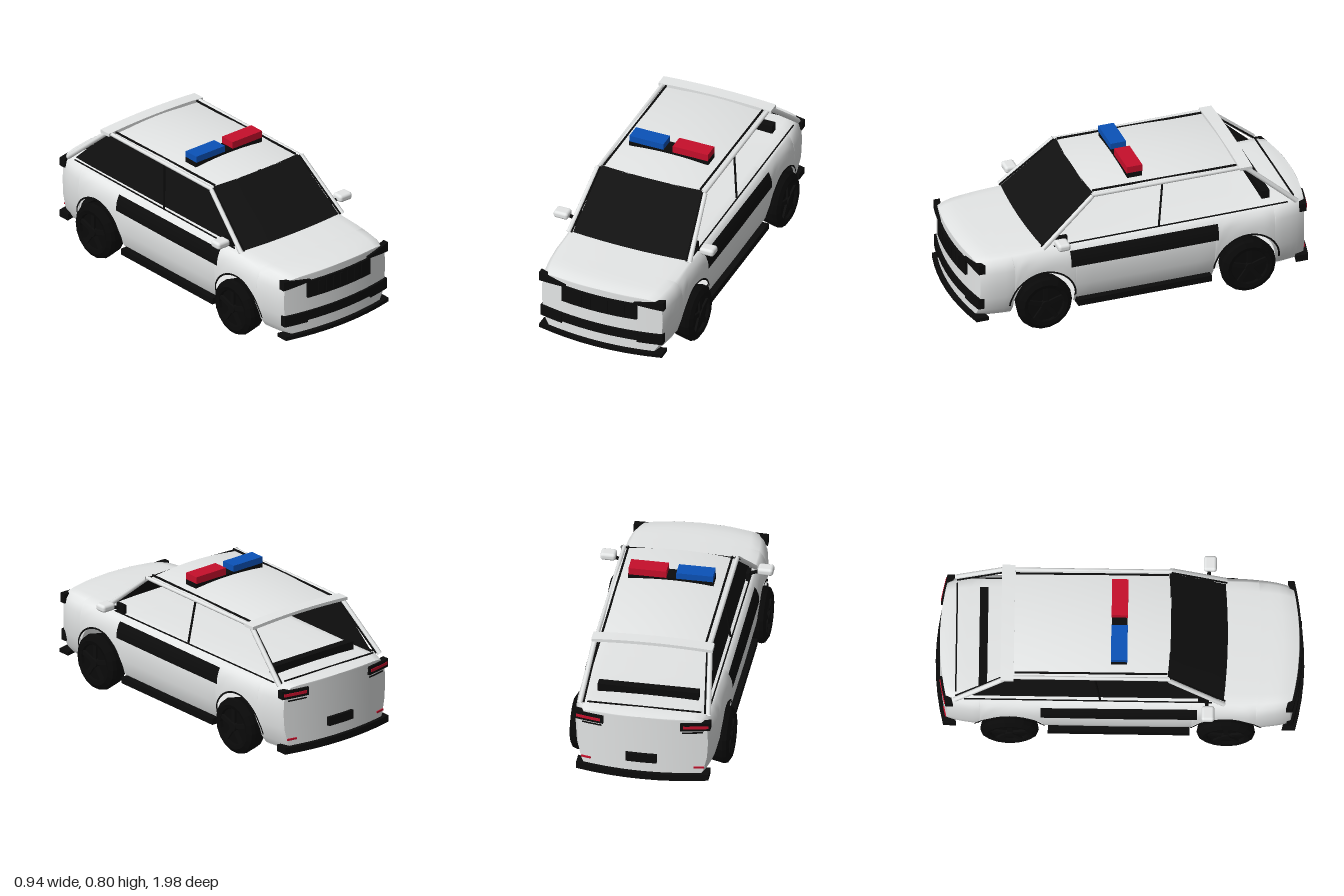
import * as THREE from 'three';
import { RoundedBoxGeometry } from 'three/addons/geometries/RoundedBoxGeometry.js';

const mat = (name, color, side = THREE.DoubleSide) => {
  const m = new THREE.MeshStandardMaterial({ color, side });
  m.name = name;
  return m;
};

// piecewise linear lookup in [key, value] pairs sorted by key
function lookup(t, pairs) {
  if (t <= pairs[0][0]) return pairs[0][1];
  for (let i = 1; i < pairs.length; i++) {
    const [k0, v0] = pairs[i - 1], [k1, v1] = pairs[i];
    if (t <= k1) return v0 + (v1 - v0) * (t - k0) / (k1 - k0);
  }
  return pairs[pairs.length - 1][1];
}

const END = 0.965, BEND = 0.35, FLOOR = 0.1, AXLE_Y = 0.157, ARCH = 0.185;
const AXLES = [0.575, -0.585];
const WIDTH = [[-END, 0.355], [-0.93, 0.37], [-0.85, 0.386], [-0.7, 0.396], [0, 0.4],
  [0.7, 0.396], [0.85, 0.386], [0.93, 0.37], [END, 0.355]];
const TOP = [[-END, 0.462], [-0.9, 0.47], [-0.6, 0.462], [0, 0.456], [0.55, 0.457], [0.9, 0.444], [END, 0.43]];
const SIDE = [[0, 0.86], [0.12, 0.93], [0.35, 0.985], [0.6, 1], [0.8, 0.99], [0.92, 0.95], [1, 0.88]];

const sideX = (y, z) => lookup(z, WIDTH) * lookup((y - FLOOR) / (lookup(z, TOP) - FLOOR), SIDE);
const bendZ = (x, z) => z - Math.sign(z) * BEND * x * x * THREE.MathUtils.smoothstep(Math.abs(z), 0.6, END);
function bottomY(z) {
  for (const c of AXLES) {
    const d = Math.abs(z - c);
    if (d < ARCH) return AXLE_Y + Math.sqrt(ARCH * ARCH - d * d);
  }
  return FLOOR;
}

// surface from a rule fn(u, v) -> [x, y, z]
function grid(nu, nv, fn) {
  const pos = [], idx = [];
  for (let j = 0; j <= nv; j++) for (let i = 0; i <= nu; i++) pos.push(...fn(i / nu, j / nv));
  for (let j = 0; j < nv; j++) for (let i = 0; i < nu; i++) {
    const a = j * (nu + 1) + i, b = a + 1, c = a + nu + 1, d = c + 1;
    idx.push(a, c, d, a, d, b);
  }
  const g = new THREE.BufferGeometry();
  g.setAttribute('position', new THREE.Float32BufferAttribute(pos, 3));
  g.setIndex(idx);
  g.computeVertexNormals();
  return g;
}

// box wrapped round the curved nose (end = 1) or tail (end = -1)
function bentBox(x0, x1, y0, y1, end, proud, depth, rule) {
  const g = new THREE.BoxGeometry(x1 - x0, y1 - y0, depth, 8, 1, 1);
  g.translate((x0 + x1) / 2, (y0 + y1) / 2, 0);
  const p = g.attributes.position;
  for (let i = 0; i < p.count; i++) {
    const x = p.getX(i);
    if (rule) p.setY(i, rule(x, p.getY(i)));
    p.setZ(i, end * (END + proud - depth / 2 - BEND * x * x) + p.getZ(i));
  }
  g.computeVertexNormals();
  return g;
}

function rod(a, b, r, sides = 8) {
  return new THREE.TubeGeometry(new THREE.LineCurve3(new THREE.Vector3(...a), new THREE.Vector3(...b)), 1, r, sides);
}

export function createModel() {
  const car = new THREE.Group();
  car.name = 'patrolCar';
  const white = mat('white paint', 0xe4e6e6), black = mat('black trim', 0x0c0c0c), glass = mat('dark glass', 0x111111);
  const tyre = mat('tyre black', 0x090909), red = mat('red lens', 0xc60f2b), blue = mat('blue lens', 0x0b52b8);
  const add = (name, geo, m, parent = car) => {
    const mesh = new THREE.Mesh(geo, m);
    mesh.name = name;
    parent.add(mesh);
    return mesh;
  };
  const box = (name, m, x, y, z, w, h, d) => add(name, new THREE.BoxGeometry(w, h, d).translate(x, y, z), m);

  // lower body: stations along z, denser round the wheel arches
  const zs = [END, 0.945, 0.92, 0.88, 0.82, 0.3, 0.15, 0, -0.15, -0.3, -0.82, -0.88, -0.92, -0.945, -END];
  for (const c of AXLES) {
    zs.push(c + ARCH, c - ARCH);
    for (let k = 0; k <= 16; k++) zs.push(c + (ARCH - 0.0005) * Math.cos(Math.PI * k / 16));
  }
  zs.sort((a, b) => b - a);
  const section = z => {
    const yb = bottomY(z), yt = lookup(z, TOP), half = [];
    for (const [f] of SIDE) {
      const y = yb + (yt - yb) * f;
      half.push([sideX(y, z), y]);
    }
    const x = half[half.length - 1][0];
    half.push([x * 0.85, yt + 0.006], [x * 0.5, yt + 0.011]);
    return [...half, [0, yt + 0.013], ...half.slice().reverse().map(([a, b]) => [-a, b])];
  };
  const rings = zs.map(section), n = rings[0].length - 1;
  add('body', grid(n, zs.length - 1, (u, v) => {
    const j = Math.round(v * (zs.length - 1)), [x, y] = rings[j][Math.round(u * n)];
    return [x, y, bendZ(x, zs[j])];
  }), white);
  for (const end of [1, -1]) {
    const ring = section(end * END), h = n / 2;
    add(end > 0 ? 'nose' : 'tail', grid(12, h, (u, v) => {
      const [w, y] = ring[Math.round(v * h)], x = w * (1 - 2 * u) * end;
      return [x, y, bendZ(x, end * END)];
    }).scale(1, 1, 1), white);
  }

  // flat floor, notched at the wheels
  const edge = [[0.3, 0.93], [0.335, 0.8]];
  for (const c of AXLES) edge.push([0.345, c + ARCH], [0.29, c + ARCH], [0.29, c - ARCH], [0.345, c - ARCH]);
  edge.push([0.335, -0.82], [0.3, -0.93]);
  const outline = [...edge, ...edge.slice().reverse().map(([x, z]) => [-x, z])];
  const floor = new THREE.ShapeGeometry(new THREE.Shape(outline.map(([x, z]) => new THREE.Vector2(x, z))));
  add('floor', floor.rotateX(Math.PI / 2).translate(0, FLOOR, 0), white);

  // roof, spoiler and glass
  add('roof', grid(12, 12, (u, v) => {
    const x = 0.305 * (1 - 2 * u), z = 0.275 - 0.885 * v;
    return [x, 0.748 - 0.26 * x * x - 0.12 * (z + 0.12) ** 2, z];
  }), white);
  const spoiler = new THREE.BoxGeometry(0.66, 0.018, 0.07, 8, 1, 1).translate(0, 0.716, -0.6);
  const sp = spoiler.attributes.position;
  for (let i = 0; i < sp.count; i++) sp.setY(i, sp.getY(i) + 0.012 * (1 - (sp.getX(i) / 0.33) ** 2));
  spoiler.computeVertexNormals();
  add('spoiler', spoiler, white);
  add('windshield', grid(8, 4, (u, v) => {
    const x = (1 - 2 * u) * (0.295 + 0.035 * v);
    return [x, 0.725 - 0.255 * v, 0.275 + 0.305 * v - 0.15 * x * x];
  }), glass);
  add('sideGlass', grid(1, 1, (u, v) => [-0.305 - 0.02 * v, 0.718 - 0.25 * v,
    (1 - u) * (0.27 + 0.29 * v) + u * (-0.59 - 0.26 * v)]), glass);
  box('parcelShelf', black, 0, 0.495, -0.73, 0.55, 0.05, 0.045);
  box('rearSeal', black, 0, 0.483, -0.875, 0.62, 0.006, 0.008);

  // light bar
  box('lightBarBase', black, 0, 0.747, 0, 0.465, 0.028, 0.085);
  box('blueBeacon', blue, -0.13, 0.778, 0, 0.2, 0.036, 0.088);
  box('redBeacon', red, 0.127, 0.779, 0, 0.206, 0.04, 0.088);

  for (const s of [1, -1]) {
    const side = s > 0 ? 'left' : 'right';
    // pillars and roof edges
    add(side + 'FrontPillar', rod([s * 0.355, 0.465, 0.565], [s * 0.315, 0.715, 0.27], 0.013), white);
    add(side + 'RearPillar', rod([s * 0.35, 0.47, -0.88], [s * 0.312, 0.715, -0.6], 0.014), white);
    add(side + 'RearPillarSeal', rod([s * 0.33, 0.475, -0.875], [s * 0.295, 0.712, -0.6], 0.005), black);
    add(side + 'FrontPillarSeal', rod([s * 0.337, 0.47, 0.57], [s * 0.3, 0.72, 0.27], 0.005), black);
    add(side + 'RoofEdge', rod([s * 0.308, 0.715, 0.275], [s * 0.308, 0.715, -0.61], 0.011), white);
    add(side + 'RoofRail', rod([s * 0.283, 0.729, 0.26], [s * 0.283, 0.722, -0.56], 0.006), black);
    add(side + 'CentrePillar', rod([s * 0.335, 0.46, -0.1], [s * 0.308, 0.715, -0.13], 0.006), black);
    add(side + 'BeltSeal', rod([s * 0.345, 0.463, 0.5], [s * 0.345, 0.47, -0.83], 0.004), black);

    // door band, sill and wheel arch trims
    add(side + 'DoorBand', grid(6, 12, (u, v) => {
      const y = 0.345 + 0.09 * u, z = 0.42 - 0.84 * v;
      return [s * (sideX(y, z) + 0.006), y, z];
    }), black);
    box(side + 'Sill', black, s * 0.365, 0.112, 0, 0.07, 0.036, 0.76);
    for (const c of AXLES) {
      add(side + 'ArchTrim', grid(1, 24, (u, v) => {
        const a = Math.PI * v, r = ARCH - 0.004 + 0.01 * u, y = AXLE_Y + r * Math.sin(a), z = c + r * Math.cos(a);
        return [s * (sideX(y, z) + 0.005), y, z];
      }), black);
    }

    // mirrors
    add(side + 'Mirror', new RoundedBoxGeometry(0.085, 0.042, 0.07, 3, 0.016).translate(s * 0.428, 0.514, 0.48), white);
    add(side + 'MirrorArm', rod([s * 0.345, 0.49, 0.47], [s * 0.395, 0.505, 0.475], 0.01), black);
    box(side + 'MirrorFoot', black, s * 0.338, 0.49, 0.455, 0.02, 0.05, 0.06);

    // headlights and lower intakes
    const ends = (a, b) => [Math.min(s * a, s * b), Math.max(s * a, s * b)];
    const wedge = (x, y) => {
      const t = (Math.abs(x) - 0.2) / 0.165;
      return y > 0.41 ? 0.412 + 0.023 * t : 0.402 - 0.022 * t;
    };
    add(side + 'Headlight', bentBox(...ends(0.2, 0.365), 0.38, 0.435, 1, 0.014, 0.035, wedge), black);
    add(side + 'Intake', bentBox(...ends(0.22, 0.358), 0.16, 0.222, 1, 0.014, 0.035), black);
    // tail lights and reflectors
    add(side + 'TailLightHousing', bentBox(...ends(0.21, 0.368), 0.405, 0.452, -1, 0.012, 0.04), black);
    add(side + 'TailLight', bentBox(...ends(0.225, 0.36), 0.42, 0.436, -1, 0.016, 0.01), red);
    add(side + 'TailTrim', bentBox(...ends(0.22, 0.33), 0.386, 0.392, -1, 0.006, 0.01), black);
    add(side + 'Reflector', bentBox(...ends(0.28, 0.335), 0.16, 0.17, -1, 0.006, 0.01), red);
  }

  // nose and tail trim
  add('grille', bentBox(-0.22, 0.22, 0.305, 0.402, 1, 0.014, 0.03), black);
  for (let i = -3; i <= 3; i++) add('grilleBar', bentBox(i * 0.05 - 0.005, i * 0.05 + 0.005, 0.315, 0.392, 1, 0.018, 0.01), black);
  add('lowerGrille', bentBox(-0.22, 0.22, 0.17, 0.222, 1, 0.012, 0.03), black);
  add('frontSplitter', bentBox(-0.36, 0.36, 0.084, 0.106, 1, 0.025, 0.07), black);
  add('rearBumper', bentBox(-0.36, 0.36, 0.09, 0.128, -1, 0.022, 0.07), black);
  add('plate', bentBox(-0.085, 0.085, 0.195, 0.245, -1, 0.018, 0.025), black);

  // wheels: faceted tyre with a recessed five-spoke face
  const profile = [[0, -0.05], [0.13, -0.05], [0.142, -0.045], [0.157, 0.03], [0.15, 0.05], [0.125, 0.065],
    [0.105, 0.06], [0.1, 0.045], [0, 0.045]].map(([r, x]) => new THREE.Vector2(r, x));
  for (const s of [1, -1]) for (const c of AXLES) {
    const wheel = new THREE.Group();
    wheel.name = (c > 0 ? 'front' : 'rear') + (s > 0 ? 'Left' : 'Right') + 'Wheel';
    add('tyre', new THREE.LatheGeometry(profile, 18).toNonIndexed().rotateZ(-Math.PI / 2), tyre, wheel)
      .geometry.computeVertexNormals();
    for (let k = 0; k < 5; k++) {
      add('spoke', new THREE.BoxGeometry(0.014, 0.1, 0.026).translate(0.05, 0.055, 0).rotateX(k * Math.PI * 0.4), black, wheel);
    }
    add('hub', new THREE.CylinderGeometry(0.025, 0.03, 0.02, 10).rotateZ(-Math.PI / 2).translate(0.055, 0, 0), black, wheel);
    wheel.position.set(s * 0.37, AXLE_Y, c);
    if (s < 0) wheel.rotation.y = Math.PI;
    car.add(wheel);
  }
  return car;
}
